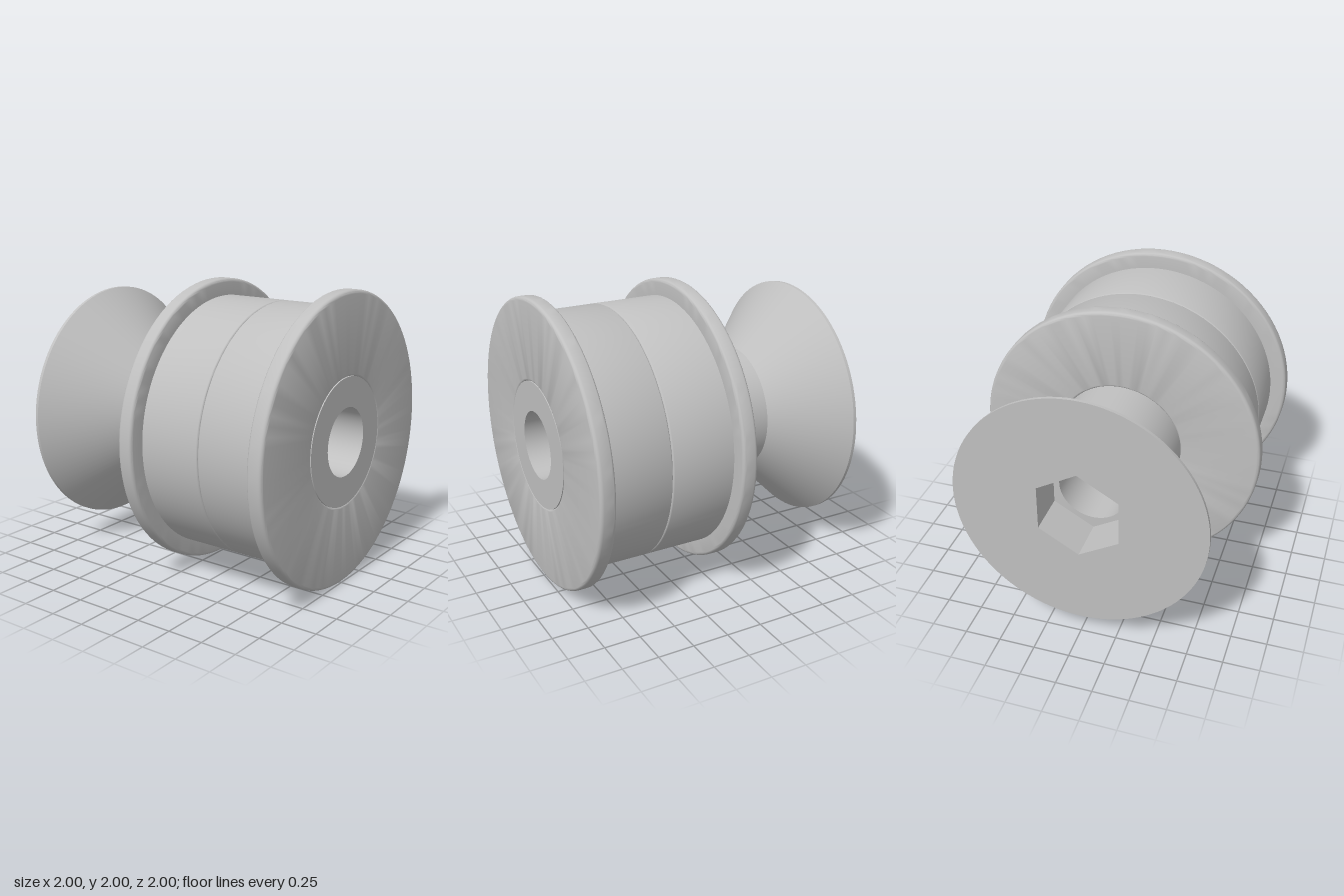
import * as THREE from 'three';
import { toCreasedNormals } from 'three/addons/utils/BufferGeometryUtils.js';

const CREASE = 0.5;
const SEGMENTS = 96;

// Turn an (r, z) profile around the z axis; outer side runs towards +z
function turned(points) {
  const geo = new THREE.LatheGeometry(points.map(([r, z]) => new THREE.Vector2(r, z)), SEGMENTS);
  return toCreasedNormals(geo.rotateX(Math.PI / 2), CREASE);
}

// Closed counter-clockwise profile from corners [r, z, fillet]
function filleted(corners) {
  const out = [];
  corners.forEach(([r, z, f], i) => {
    if (!f) return out.push([r, z]);
    const n = corners.length;
    const p = new THREE.Vector2(r, z);
    const towards = ([qr, qz]) => new THREE.Vector2(qr, qz).sub(p).setLength(f);
    const a = towards(corners[(i + n - 1) % n]);
    const b = towards(corners[(i + 1) % n]);
    for (let k = 0; k <= 5; k++) {
      const t = (k / 5) * Math.PI / 2;
      const u = 1 - Math.sin(t), v = 1 - Math.cos(t);
      out.push([r + a.x * u + b.x * v, z + a.y * u + b.y * v]);
    }
  });
  out.push(out[0]);
  return out;
}

export function createModel() {
  const steel = new THREE.MeshStandardMaterial({ color: 0xc0c0c0 });
  steel.name = 'steelGrey';
  const model = new THREE.Group();
  model.name = 'flangedRoller';
  const add = (name, geo, parent) => {
    const mesh = new THREE.Mesh(geo, steel);
    mesh.name = name;
    parent.add(mesh);
    return mesh;
  };

  // Two flanged bearings, back to back, flanges outwards
  const bearing = turned(filleted([
    [0.44, 0, 0.015], [0.885, 0, 0.015], [0.885, 0.445, 0],
    [1, 0.445, 0.025], [1, 0.555, 0.025], [0.44, 0.555, 0.015],
  ]));
  add('frontBearing', bearing, model).position.z = 0.445;
  const rear = add('rearBearing', bearing, model);
  rear.rotation.y = Math.PI;
  rear.position.z = 0.445;

  // Hollow countersunk bolt
  const bolt = new THREE.Group();
  bolt.name = 'bolt';
  model.add(bolt);
  const headR = 0.865, hexR = 0.318, depth = 0.3;
  add('boltBody', turned([
    [headR, -1], [headR, -0.978], [0.44, -0.555], [0.44, 1],
    [0.235, 1], [0.235, -1 + depth], [hexR + 0.01, -1 + depth],
  ]), bolt);

  // Flat head face with a hexagonal opening
  const face = new THREE.Shape().absarc(0, 0, headR, 0, Math.PI * 2);
  const hex = [0, 1, 2, 3, 4, 5].map((i) => {
    const a = Math.PI / 2 - i * Math.PI / 3;
    return new THREE.Vector2(hexR * Math.cos(a), hexR * Math.sin(a));
  });
  face.holes.push(new THREE.Path(hex));
  add('headFace', new THREE.ShapeGeometry(face, SEGMENTS).rotateY(Math.PI).translate(0, 0, -1), bolt);

  // Socket walls, turned inside out so they face the axis
  const walls = new THREE.CylinderGeometry(hexR, hexR, depth, 6, 1, true)
    .rotateX(Math.PI / 2).scale(-1, 1, 1).translate(0, 0, -1 + depth / 2);
  add('hexSocket', toCreasedNormals(walls, CREASE), bolt);

  model.position.y = 1;
  const root = new THREE.Group();
  root.add(model);
  return root;
}
